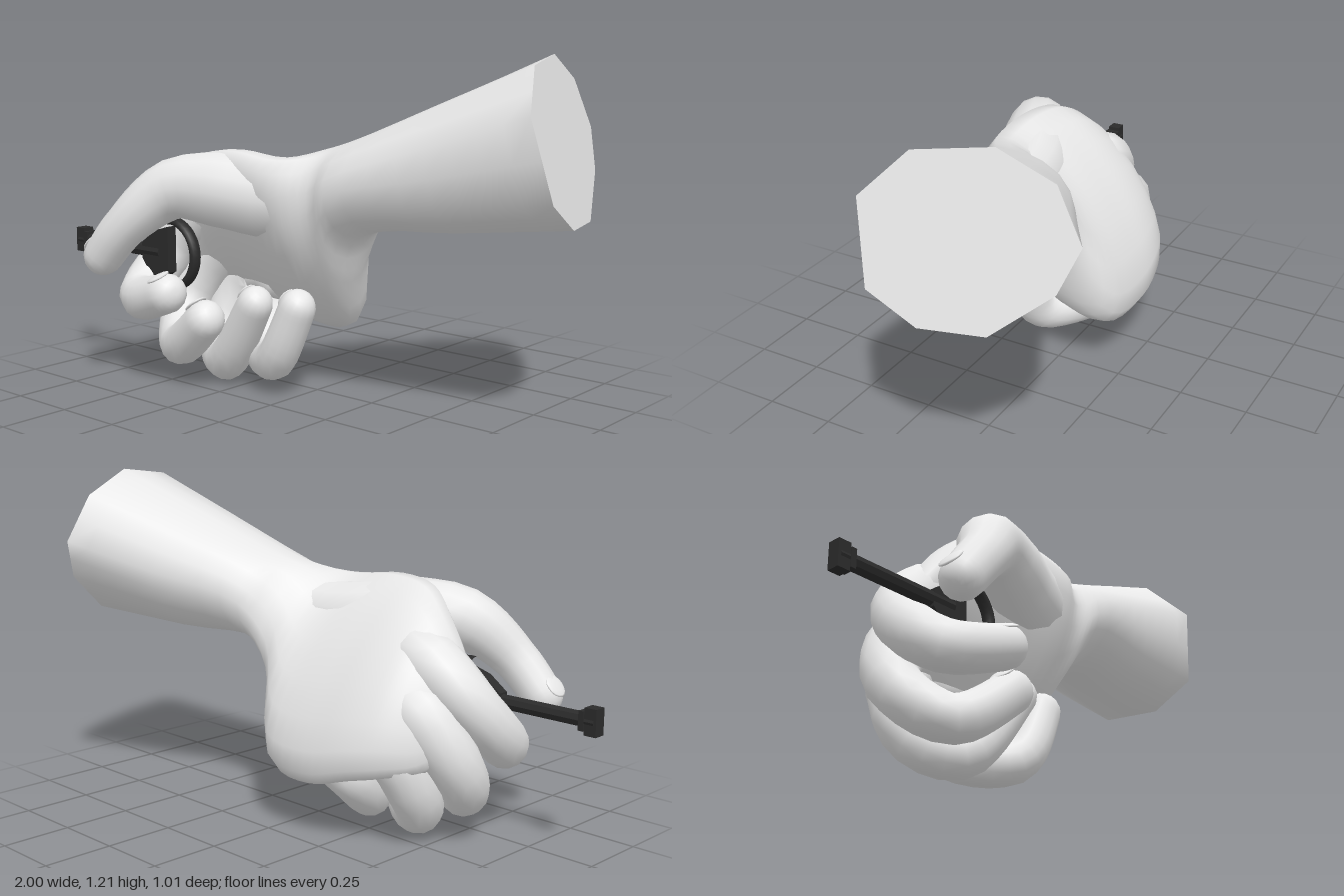
import * as THREE from 'three';
import { toCreasedNormals } from 'three/addons/utils/BufferGeometryUtils.js';

const V = (x, y, z) => new THREE.Vector3(x, y, z);

// Skin a list of point rings and close both ends
function loft(rings, crease) {
  const n = rings[0].length;
  const pos = [], index = [];
  rings.forEach(r => r.forEach(p => pos.push(p.x, p.y, p.z)));
  for (let j = 0; j < rings.length - 1; j++) {
    for (let i = 0; i < n; i++) {
      const a = j * n + i, b = j * n + (i + 1) % n;
      index.push(a, b, a + n, b, b + n, a + n);
    }
  }
  const last = (rings.length - 1) * n;
  [rings[0], rings[rings.length - 1]].forEach((ring, end) => {
    const c = ring.reduce((s, p) => s.add(p), V(0, 0, 0)).divideScalar(n);
    const ci = pos.length / 3;
    pos.push(c.x, c.y, c.z);
    for (let i = 0; i < n; i++) {
      const k = (i + 1) % n;
      if (end) index.push(ci, last + i, last + k);
      else index.push(ci, k, i);
    }
  });
  const g = new THREE.BufferGeometry();
  g.setAttribute('position', new THREE.Float32BufferAttribute(pos, 3));
  g.setIndex(index);
  return toCreasedNormals(g, crease);
}

// Forearm end: nine-sided slanted cut given as [z, y], split to 18 points
function cutRing() {
  const c = [[0.14, 1.04], [0, 1.185], [-0.24, 1.215], [-0.42, 1.13], [-0.51, 0.965],
    [-0.455, 0.825], [-0.275, 0.68], [-0.07, 0.68], [0.09, 0.775]];
  const at = (z, y) => V(1.177 + 0.27 * z - 0.26 * y, y, z);
  return c.flatMap(([z, y], i) => {
    const [z2, y2] = c[(i + 1) % c.length];
    return [at(z, y), at((z + z2) / 2, (y + y2) / 2)];
  });
}

// Tilted oval across x: long and short radius, tilt in degrees from z towards y
function ovalRing([x, y, z, long, short, tilt]) {
  const t = THREE.MathUtils.degToRad(tilt);
  return Array.from({ length: 18 }, (_, i) => {
    const a = THREE.MathUtils.degToRad(17 + 20 * i) - t;
    const u = long * Math.cos(a), v = short * Math.sin(a);
    return V(x, y + u * Math.sin(t) + v * Math.cos(t), z + u * Math.cos(t) - v * Math.sin(t));
  });
}

function armGeometry() {
  const cut = cutRing();
  const wrist = ovalRing([0.23, 0.76, 0.03, 0.215, 0.17, 0]);
  const mid = cut.map((p, i) => p.clone().lerp(wrist[i], 0.5));
  const stations = [cut, mid, wrist,
    ...[[0.14, 0.655, 0.045, 0.25, 0.165, 68],
      [0.02, 0.54, 0.02, 0.385, 0.155, 54],
      [-0.18, 0.54, 0.005, 0.41, 0.135, 54],
      [-0.35, 0.55, 0.0, 0.37, 0.125, 54],
      [-0.46, 0.52, 0.0, 0.3, 0.115, 56],
      [-0.55, 0.47, 0.025, 0.21, 0.085, 58],
      [-0.6, 0.44, 0.05, 0.1, 0.04, 58]].map(ovalRing)];
  const columns = cut.map((_, i) => new THREE.CatmullRomCurve3(stations.map(s => s[i])));
  const steps = 36;
  const rings = Array.from({ length: steps + 1 }, (_, j) => columns.map(c => c.getPoint(j / steps)));
  return loft(rings, 1.1);
}

// Tapered digit along a bent path with a rounded tip, plus its nail
function digit(name, points, radii, axis, material) {
  const p = points.map(q => V(...q));
  const curve = new THREE.CatmullRomCurve3(p);
  const m = p.length - 1, length = curve.getLength();
  const bend = axis || p[1].clone().sub(p[0]).cross(p[m].clone().sub(p[m - 1])).normalize();
  const frame = u => {
    const T = curve.getTangentAt(u);
    const N = bend.clone().cross(T).normalize();
    return { T, N, B: T.clone().cross(N), P: curve.getPointAt(u) };
  };
  const radiusAt = u => {
    const f = curve.getUtoTmapping(u) * m, k = Math.min(Math.floor(f), m - 1);
    return THREE.MathUtils.lerp(radii[k], radii[k + 1], f - k);
  };
  const rings = [];
  for (let k = 0; k <= 26; k++) {
    const u = Math.min(0.9995, 1 - (1 - k / 26) ** 1.8);
    const { N, B, P } = frame(u);
    let r = radiusAt(u);
    const left = (1 - u) * length;
    if (left < r) r *= Math.max(0.002, 1 - ((r - left) / r) ** 2) ** 0.42;
    rings.push(Array.from({ length: 14 }, (_, i) => {
      const a = i / 14 * Math.PI * 2;
      return P.clone().addScaledVector(N, r * Math.cos(a)).addScaledVector(B, r * Math.sin(a));
    }));
  }
  const group = new THREE.Group();
  group.name = name;
  const flesh = new THREE.Mesh(loft(rings, 1.6), material);
  flesh.name = name + 'Flesh';
  group.add(flesh);

  const u = 1 - 0.07 / length, f = frame(u), r = radii[m];
  const nail = new THREE.Mesh(new THREE.SphereGeometry(1, 12, 8), material);
  nail.name = name + 'Nail';
  nail.applyMatrix4(new THREE.Matrix4().makeBasis(
    f.N.clone().multiplyScalar(0.009), f.B.clone().multiplyScalar(r * 0.6), f.T.clone().multiplyScalar(0.045)
  ).setPosition(f.P.clone().addScaledVector(f.N, -r * 0.95)));
  group.add(nail);
  return group;
}

export function createModel() {
  const model = new THREE.Group();
  model.name = 'handHoldingKey';
  const skin = new THREE.MeshStandardMaterial({ name: 'pale grey', color: 0xe7e7e7 });
  const dark = new THREE.MeshStandardMaterial({ name: 'dark grey', color: 0x2b2b2b });

  // Forearm, wrist and palm in one skin
  const arm = new THREE.Mesh(armGeometry(), skin);
  arm.name = 'forearmAndPalm';
  model.add(arm);

  // Digits: path points from inside the palm to the tip, with a radius at each
  const digits = [
    ['thumb', [[0.17, 0.72, 0.08], [-0.08, 0.71, 0.155], [-0.26, 0.735, 0.23], [-0.41, 0.73, 0.31], [-0.55, 0.6, 0.41], [-0.7, 0.425, 0.44]],
      [0.11, 0.14, 0.135, 0.11, 0.08, 0.07], V(0.25, 0.25, 0.93).normalize()],
    ['indexFinger', [[-0.22, 0.6, 0.09], [-0.43, 0.63, 0.06], [-0.62, 0.47, 0.12], [-0.6, 0.32, 0.3], [-0.33, 0.38, 0.38]],
      [0.07, 0.115, 0.09, 0.085, 0.07]],
    ['middleFinger', [[-0.22, 0.48, 0.02], [-0.45, 0.49, -0.02], [-0.59, 0.27, 0.07], [-0.48, 0.14, 0.22], [-0.23, 0.31, 0.3]],
      [0.07, 0.115, 0.09, 0.08, 0.07]],
    ['ringFinger', [[-0.2, 0.37, -0.04], [-0.4, 0.38, -0.09], [-0.46, 0.14, 0.02], [-0.34, 0.085, 0.12], [-0.1, 0.38, 0.19]],
      [0.07, 0.11, 0.085, 0.08, 0.062]],
    ['littleFinger', [[-0.05, 0.31, -0.1], [-0.25, 0.28, -0.14], [-0.25, 0.13, 0.0], [-0.09, 0.13, 0.125], [0.055, 0.39, 0.14]],
      [0.07, 0.1, 0.078, 0.074, 0.064]]
  ];
  digits.forEach(([name, path, radii, axis]) => model.add(digit(name, path, radii, axis, skin)));

  // Key held between thumb and index finger
  const key = new THREE.Group();
  key.name = 'key';
  key.position.set(0, 0.483, 0.258);
  model.add(key);
  const addKey = (name, geometry, x) => {
    const mesh = new THREE.Mesh(geometry, dark);
    mesh.name = name;
    mesh.position.x = x;
    key.add(mesh);
    return mesh;
  };
  addKey('shaft', toCreasedNormals(new THREE.CylinderGeometry(0.026, 0.026, 0.46, 8).rotateZ(Math.PI / 2), 0.5), -0.76);
  addKey('endBlock', new THREE.BoxGeometry(0.045, 0.092, 0.045), -0.9775);
  addKey('endCollar', new THREE.BoxGeometry(0.02, 0.066, 0.052), -0.945);
  const plate = new THREE.Shape([[-0.62, 0.03], [-0.55, 0.08], [-0.48, 0.1], [-0.48, -0.07],
    [-0.53, -0.1], [-0.58, -0.08], [-0.62, -0.03]].map(q => new THREE.Vector2(...q)));
  addKey('bowPlate', new THREE.ExtrudeGeometry(plate, { depth: 0.04, bevelEnabled: false }).translate(0, 0, -0.02), 0);
  const bow = new THREE.TorusGeometry(0.122, 0.016, 8, 20, Math.PI * 1.1).rotateZ(-Math.PI * 0.55);
  addKey('bowRing', bow, -0.48).scale.z = 1.5;

  return model;
}
